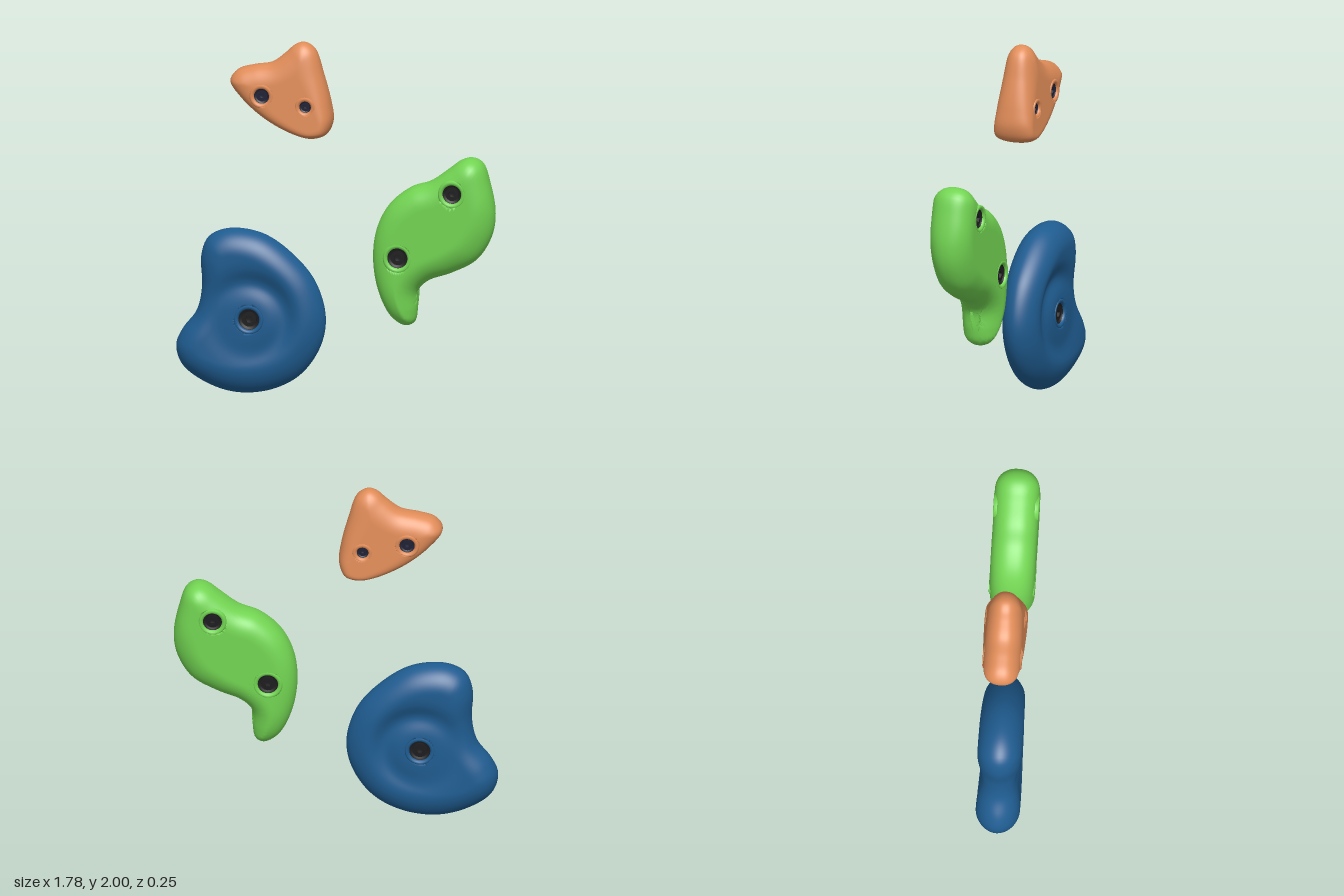
import * as THREE from 'three';
import { mergeVertices } from 'three/addons/utils/BufferGeometryUtils.js';

const mat = (name, color) => {
  const m = new THREE.MeshStandardMaterial({ color });
  m.name = name;
  return m;
};

const SIDES = 128, RINGS = 52;
const ss = THREE.MathUtils.smoothstep;

// Distance from a point to the closed outline
function edgeDistance(x, y, pts) {
  let best = Infinity;
  for (let i = 0; i < pts.length; i++) {
    const a = pts[i], b = pts[(i + 1) % pts.length];
    const dx = b.x - a.x, dy = b.y - a.y;
    const t = THREE.MathUtils.clamp(((x - a.x) * dx + (y - a.y) * dy) / (dx * dx + dy * dy || 1), 0, 1);
    best = Math.min(best, Math.hypot(x - a.x - t * dx, y - a.y - t * dy));
  }
  return best;
}

// One pillow-shaped hold: rings shrink from the outline to the centre on both faces
function makeHold(spec, material, boltMaterial) {
  const { name, outline, centre: [cx, cy], bolts, height, edge, power } = spec;
  const curve = new THREE.CatmullRomCurve3(outline.map(([x, y]) => new THREE.Vector3(x, y, 0)), true, 'centripetal');
  const pts = curve.getSpacedPoints(SIDES).slice(0, SIDES);

  const surface = (x, y) => {
    const t = Math.min(edgeDistance(x, y, pts) / edge(x, y), 1);
    return height(x, y) * Math.pow(Math.max(1 - Math.pow(1 - t, power), 0), 1 / power);
  };

  const pos = [], index = [];
  for (let k = 0; k <= 2 * RINGS; k++) {
    const s = k === 2 * RINGS ? 0 : Math.sin((k / RINGS) * Math.PI / 2);
    const side = k <= RINGS ? 1 : -1;
    for (const p of pts) {
      const x = cx + (p.x - cx) * s, y = cy + (p.y - cy) * s;
      let z = k === RINGS ? 0 : surface(x, y);
      // pocket for each bolt
      for (const [bx, by, r] of bolts) if (Math.hypot(x - bx, y - by) < r + 0.008) z -= 0.045;
      pos.push(x, y, z * side);
    }
  }
  for (let k = 0; k < 2 * RINGS; k++) {
    for (let i = 0; i < SIDES; i++) {
      const j = (i + 1) % SIDES;
      const a = k * SIDES + i, b = k * SIDES + j, c = a + SIDES, d = b + SIDES;
      if (k > 0) index.push(a, b, c);
      if (k < 2 * RINGS - 1) index.push(b, d, c);
      if (k === 0) index.push(b, d, c);
      if (k === 2 * RINGS - 1) index.push(a, b, c);
    }
  }
  let geo = new THREE.BufferGeometry();
  geo.setAttribute('position', new THREE.Float32BufferAttribute(pos, 3));
  geo.setIndex(index);
  geo = mergeVertices(geo, 1e-6);
  geo.computeVertexNormals();

  const group = new THREE.Group();
  group.name = name;
  const body = new THREE.Mesh(geo, material);
  body.name = name + 'Body';
  group.add(body);

  // The same bolts on the front and the back
  for (const [bx, by, r] of bolts) {
    for (const side of [1, -1]) {
      const bolt = makeBolt(r, material, boltMaterial);
      bolt.position.set(bx, by, side * surface(bx, by));
      if (side < 0) bolt.rotation.y = Math.PI;
      group.add(bolt);
    }
  }
  return group;
}

const lathe = (profile) =>
  new THREE.LatheGeometry(profile.map(([x, y]) => new THREE.Vector2(x, y)), 32).rotateX(Math.PI / 2);

// Bolt with a collar, a sunken cup and a hex socket head, facing +z
function makeBolt(r, holdMaterial, boltMaterial) {
  const group = new THREE.Group();
  group.name = 'bolt';
  const add = (name, geo, m) => {
    const mesh = new THREE.Mesh(geo, m);
    mesh.name = name;
    group.add(mesh);
  };
  add('collar', lathe([[r + 0.025, -0.02], [r + 0.022, -0.001], [r + 0.014, 0.002], [r + 0.005, 0],
    [r, -0.006], [r - 0.002, -0.012]]), holdMaterial);
  add('boltCup', lathe([[r, -0.007], [r * 0.92, -0.03], [0, -0.03]]), boltMaterial);

  const head = new THREE.Shape().absarc(0, 0, r * 0.68, 0, Math.PI * 2);
  const hex = [];
  for (let i = 0; i < 6; i++) {
    const a = -i * Math.PI / 3;
    hex.push(new THREE.Vector2(Math.cos(a) * r * 0.38, Math.sin(a) * r * 0.38));
  }
  head.holes.push(new THREE.Path(hex));
  const headGeo = new THREE.ExtrudeGeometry(head, { depth: 0.016, bevelEnabled: false, curveSegments: 12 });
  add('boltHead', headGeo.translate(0, 0, -0.031), boltMaterial);
  return group;
}

export function createModel() {
  const orange = mat('orange', 0xe08c58);
  const green = mat('green', 0x72d452);
  const blue = mat('blue', 0x1f5c90);
  const black = mat('black', 0x1d1d1f);
  const navy = mat('navy', 0x1f2135);

  const model = new THREE.Group();
  model.name = 'climbingHolds';

  // Small triangular hold, thinner towards the top
  model.add(makeHold({
    name: 'triangularHold',
    outline: [[-0.18, 2], [-0.12, 1.965], [-0.07, 1.82], [-0.03, 1.66], [-0.02, 1.56], [-0.05, 1.49],
      [-0.13, 1.465], [-0.24, 1.49], [-0.4, 1.57], [-0.53, 1.68], [-0.59, 1.77], [-0.55, 1.83],
      [-0.46, 1.86], [-0.36, 1.88], [-0.28, 1.94], [-0.23, 1.985]],
    centre: [-0.22, 1.7],
    bolts: [[-0.4, 1.705, 0.044], [-0.155, 1.655, 0.034]],
    height: (x, y) => 0.12 - 0.07 * Math.max(y - 1.5, 0),
    edge: (x, y) => 0.05 + 0.25 * Math.max(y - 1.5, 0),
    power: 2.4,
  }, orange, navy));

  // Tall hold with a tail
  model.add(makeHold({
    name: 'tailedHold',
    outline: [[0.76, 1.39], [0.82, 1.36], [0.86, 1.25], [0.89, 1.08], [0.87, 0.95], [0.79, 0.82],
      [0.65, 0.74], [0.52, 0.69], [0.46, 0.63], [0.455, 0.52], [0.44, 0.45], [0.39, 0.43],
      [0.31, 0.48], [0.24, 0.62], [0.21, 0.8], [0.23, 0.97], [0.3, 1.11], [0.42, 1.21],
      [0.53, 1.25], [0.64, 1.33], [0.7, 1.375]],
    centre: [0.47, 0.92],
    bolts: [[0.67, 1.205, 0.054], [0.365, 0.83, 0.058]],
    height: () => 0.124,
    edge: (x, y) => 0.13 + 0.09 * ss(x - y, -0.35, 0),
    power: 2.3,
  }, green, black));

  // Large bean-shaped hold with a dished groove around its bolt
  model.add(makeHold({
    name: 'roundHold',
    outline: [[-0.55, 0.93], [-0.4, 0.9], [-0.25, 0.8], [-0.12, 0.65], [-0.06, 0.45], [-0.09, 0.28],
      [-0.2, 0.12], [-0.36, 0.03], [-0.55, 0.005], [-0.72, 0.05], [-0.86, 0.15], [-0.895, 0.26],
      [-0.86, 0.35], [-0.78, 0.46], [-0.75, 0.6], [-0.755, 0.77], [-0.72, 0.87], [-0.65, 0.915]],
    centre: [-0.47, 0.44],
    bolts: [[-0.47, 0.44, 0.06]],
    height: (x, y) => {
      const dx = x + 0.47, dy = y - 0.44, r = Math.hypot(dx, dy);
      const facing = r > 0 ? (dx + dy) / (r * Math.SQRT2) : 0;
      const groove = Math.exp(-(((r - 0.2) / 0.065) ** 2)) * (0.02 + 0.014 * facing);
      return 0.122 - 0.012 * Math.exp(-((r / 0.26) ** 4)) - groove;
    },
    edge: (x, y) => 0.13 + 0.06 * ss(x - y, -1.1, -0.5),
    power: 1.9,
  }, blue, black));

  return model;
}
